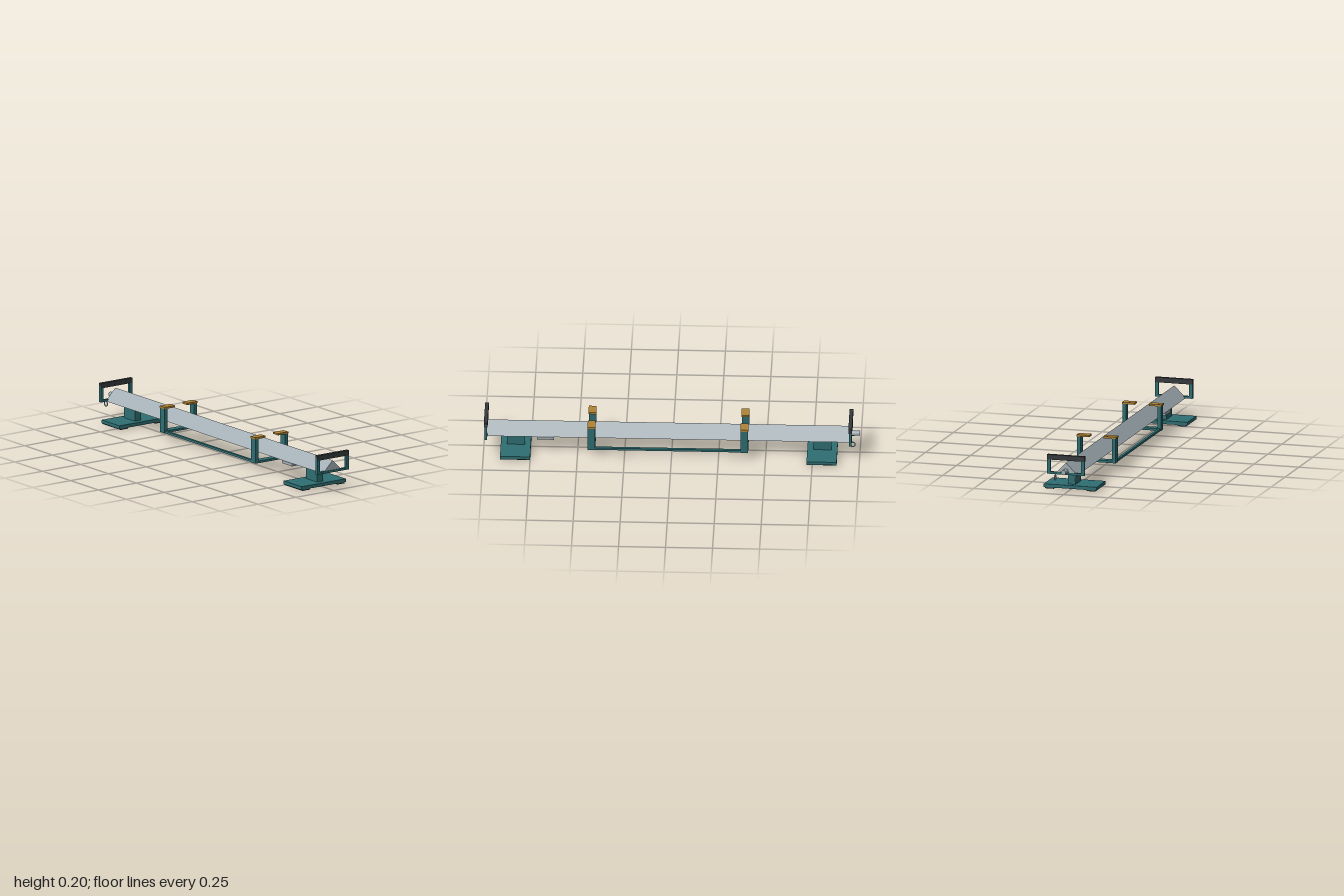
import * as THREE from 'three';

const mat = (color) => new THREE.MeshStandardMaterial({ color, flatShading: true });

export function createModel() {
  const model = new THREE.Group();
  const teal = mat(0x2f6f73), dark = mat(0x35393c), wood = mat(0xb08435), steel = mat(0xa3afb5);

  const add = (name, geometry, material) => {
    const mesh = new THREE.Mesh(geometry, material);
    mesh.name = name;
    model.add(mesh);
    return mesh;
  };
  // Box given by its lower and upper corner
  const box = (name, material, [x0, y0, z0], [x1, y1, z1]) => {
    const mesh = add(name, new THREE.BoxGeometry(x1 - x0, y1 - y0, z1 - z0), material);
    mesh.position.set((x0 + x1) / 2, (y0 + y1) / 2, (z0 + z1) / 2);
    return mesh;
  };
  // The same box on both sides of the beam, z0 < z1 measured outward
  const pair = (name, material, [x0, y0, z0], [x1, y1, z1]) => {
    box(name + 'Front', material, [x0, y0, z0], [x1, y1, z1]);
    box(name + 'Back', material, [x0, y0, -z1], [x1, y1, -z0]);
  };

  // Triangular beam with the ridge on top
  const section = new THREE.Shape([
    new THREE.Vector2(-0.064, 0.1), new THREE.Vector2(0.064, 0.1), new THREE.Vector2(0, 0.164),
  ]);
  const beam = new THREE.ExtrudeGeometry(section, { depth: 1.945, bevelEnabled: false });
  beam.rotateY(Math.PI / 2).translate(-0.955, 0, 0);
  add('beam', beam, steel);

  // Feet: column, base plate and rubber pads
  for (const x of [-0.8, 0.83]) {
    box('footColumn', teal, [x - 0.048, 0.025, -0.021], [x + 0.048, 0.1, 0.021]);
    box('footPlate', teal, [x - 0.08, 0.007, -0.147], [x + 0.08, 0.025, 0.147]);
    pair('footPad', dark, [x - 0.08, 0.001, 0.091], [x + 0.08, 0.007, 0.139]);
  }

  // End handles: two uprights, lower bar and dark grip
  for (const x of [-0.951, 0.987]) {
    pair('handleUpright', teal, [x - 0.007, 0.1, 0.086], [x + 0.007, 0.192, 0.104]);
    box('handleLowerBar', teal, [x - 0.007, 0.1, -0.1], [x + 0.007, 0.112, 0.1]);
    box('handleGrip', dark, [x - 0.01, 0.178, -0.104], [x + 0.01, 0.205, 0.104]);
  }

  // Cradle: four uprights with wooden rests, cross bars and side rails
  for (const x of [-0.388, 0.425]) {
    pair('cradleUpright', teal, [x - 0.02, 0.05, 0.088], [x + 0.02, 0.183, 0.107]);
    pair('cradleRest', wood, [x - 0.021, 0.183, 0.04], [x + 0.021, 0.193, 0.11]);
    box('cradleCrossBar', teal, [x - 0.02, 0.05, -0.1], [x + 0.02, 0.062, 0.1]);
  }
  pair('cradleRail', teal, [-0.37, 0.05, 0.089], [0.41, 0.062, 0.104]);

  // Blocks and plate under the beam
  pair('underBlock', steel, [0.625, 0.084, 0.025], [0.715, 0.1, 0.065]);
  box('underPlate', steel, [0.625, 0.092, -0.025], [0.715, 0.1, 0.025]);

  // Spigot and rings on the right end
  const spigot = add('spigot', new THREE.CylinderGeometry(0.013, 0.013, 0.05, 20), steel);
  spigot.rotation.z = Math.PI / 2;
  spigot.position.set(-0.975, 0.12, 0);
  for (const side of [1, -1]) {
    const ring = add('ring', new THREE.TorusGeometry(0.0135, 0.0035, 8, 24), steel);
    ring.position.set(-0.962, 0.084, side * 0.057);
  }
  return model;
}
